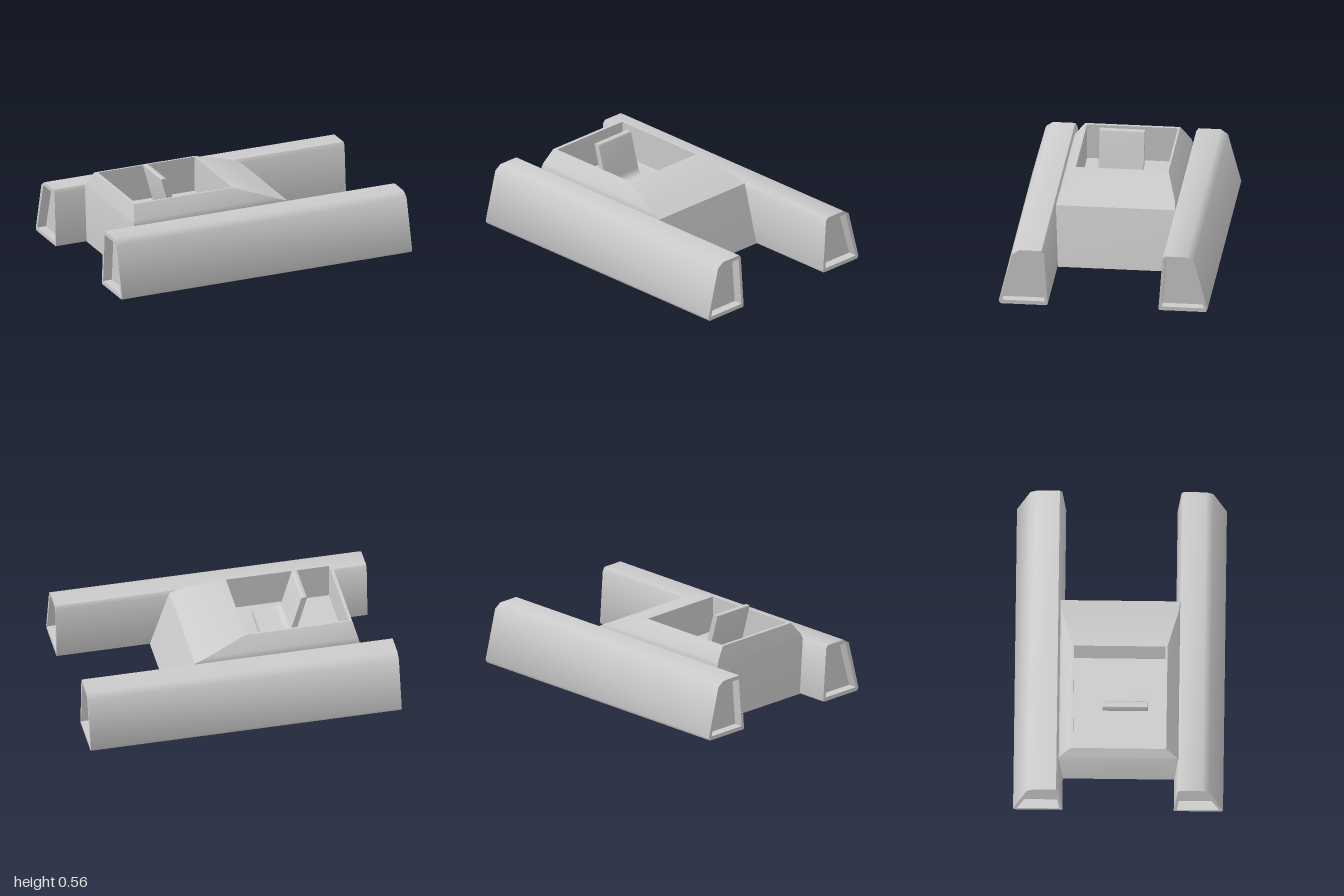
import * as THREE from 'three';
import { toCreasedNormals } from 'three/addons/utils/BufferGeometryUtils.js';

const material = new THREE.MeshStandardMaterial({ color: 0xcccccc });

// Skin a stack of equal-length rings of Vector3 and cap both ends
function loft(rings, crease) {
  const pos = [];
  const tri = (a, b, c) => {
    const area = b.clone().sub(a).cross(c.clone().sub(a)).length();
    if (area > 1e-8) for (const p of [a, b, c]) pos.push(p.x, p.y, p.z);
  };
  const n = rings[0].length;
  for (let i = 0; i < rings.length - 1; i++) {
    for (let j = 0; j < n; j++) {
      const k = (j + 1) % n, r = rings[i], q = rings[i + 1];
      tri(r[j], r[k], q[k]);
      tri(r[j], q[k], q[j]);
    }
  }
  const first = rings[0], last = rings[rings.length - 1];
  for (let j = 1; j < n - 1; j++) {
    tri(first[0], first[j + 1], first[j]);
    tri(last[0], last[j], last[j + 1]);
  }
  const g = new THREE.BufferGeometry();
  g.setAttribute('position', new THREE.Float32BufferAttribute(pos, 3));
  return toCreasedNormals(g, crease);
}

function add(parent, name, geometry) {
  const mesh = new THREE.Mesh(geometry, material);
  mesh.name = name;
  parent.add(mesh);
  return mesh;
}

// Side pod: tapered section with a shallow recess in each end
function podGeometry(side) {
  const outer = [[0.65, 0], [0.66, 0.02], [0.575, 0.34], [0.53, 0.37],
    [0.39, 0.37], [0.375, 0.35], [0.35, 0.01], [0.355, 0]];
  const corners = [[0.637, 0.025], [0.545, 0.345], [0.395, 0.345], [0.37, 0.025]];
  const inner = corners.flatMap((p) => [p, p]);
  const ring = (section, x) => {
    const pts = section.map(([z, y]) => new THREE.Vector3(x, y, z * side));
    return side > 0 ? pts.reverse() : pts;
  };
  return loft([
    ring(inner, -0.94), ring(inner, -1), ring(outer, -1),
    ring(outer, 1), ring(inner, 1), ring(inner, 0.94),
  ], 0.73);
}

// Hull with sloping nose and deck, rim, and open cockpit well
function hullGeometry() {
  const levels = [ // y, rear x, front x, half width
    [0, -0.79, 0.4, 0.35],
    [0.02, -0.79, 0.395, 0.352],
    [0.365, -0.79, 0.27, 0.376],
    [0.395, -0.783, 0.184, 0.366],
    [0.48, -0.76, -0.07, 0.3],
    [0.48, -0.738, -0.075, 0.287],
    [0.25, -0.738, -0.075, 0.287],
  ];
  return loft(levels.map(([y, x0, x1, w]) => [
    new THREE.Vector3(x1, y, w), new THREE.Vector3(x1, y, -w),
    new THREE.Vector3(x0, y, -w), new THREE.Vector3(x0, y, w),
  ]), 0.4);
}

// Seat: pan curving up into a leaning backrest
function seatGeometry() {
  const s = new THREE.Shape();
  s.moveTo(-0.22, 0.25);
  s.lineTo(-0.22, 0.3);
  s.lineTo(-0.365, 0.3);
  s.quadraticCurveTo(-0.4, 0.3, -0.412, 0.34);
  s.lineTo(-0.473, 0.555);
  s.quadraticCurveTo(-0.476, 0.565, -0.486, 0.565);
  s.lineTo(-0.505, 0.565);
  s.quadraticCurveTo(-0.514, 0.565, -0.511, 0.552);
  s.lineTo(-0.425, 0.25);
  s.closePath();
  const g = new THREE.ExtrudeGeometry(s, { depth: 0.285, bevelEnabled: false, curveSegments: 6 });
  g.translate(0, 0, -0.105);
  return toCreasedNormals(g, 0.6);
}

export function createModel() {
  const model = new THREE.Group();
  model.name = 'twinPodCraft';
  add(model, 'hull', hullGeometry());
  add(model, 'seat', seatGeometry());
  add(model, 'frontPod', podGeometry(1));
  add(model, 'backPod', podGeometry(-1));
  return model;
}
